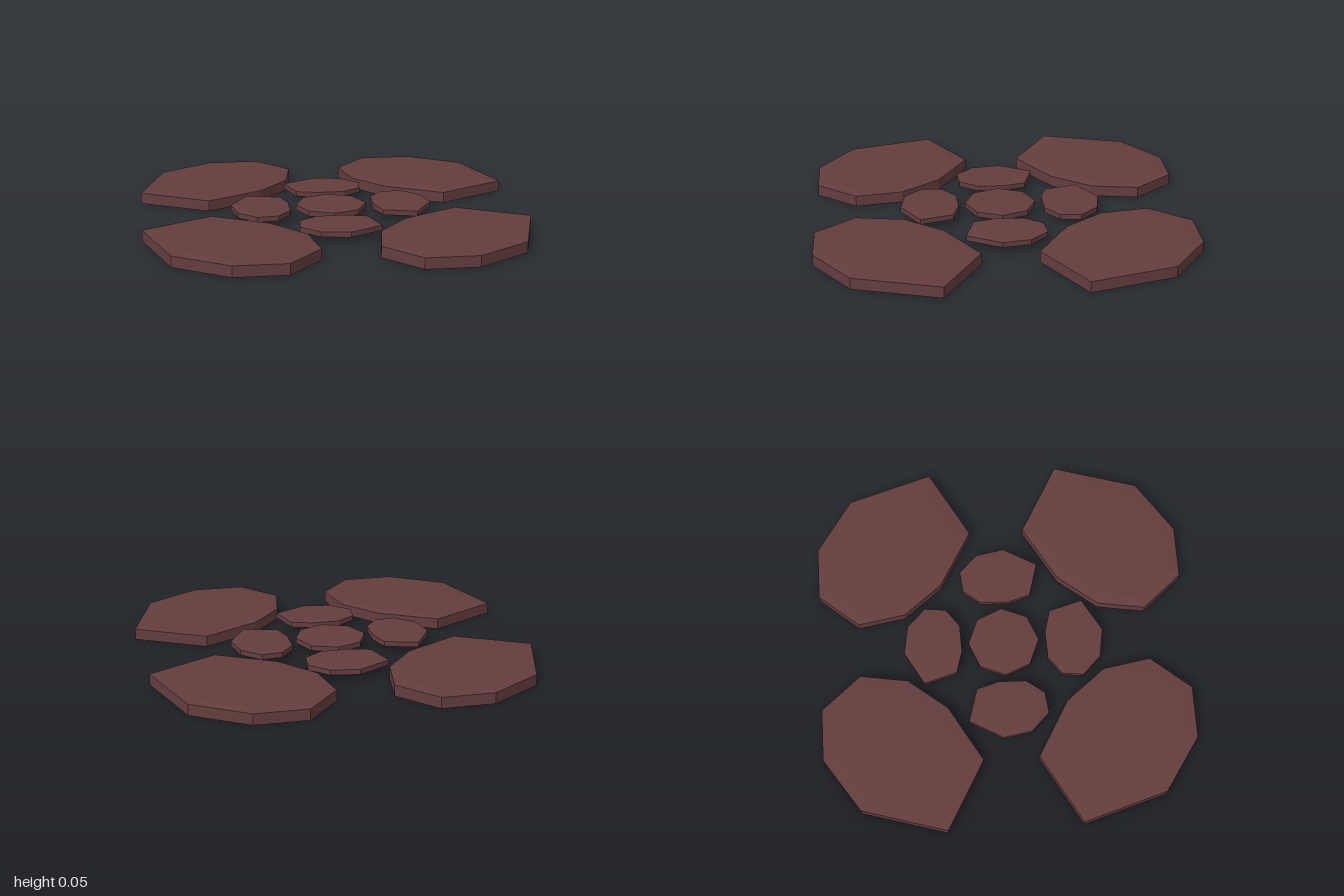
import * as THREE from 'three';

const TOP = 0.055; // all stones share one walking level

// Eight-sided outlines as [x, z]
const LARGE = [[-0.05, -1], [0.23, -0.945], [0.395, -0.78], [0.375, -0.55],
  [0.2, -0.425], [-0.02, -0.4], [-0.3, -0.475], [-0.395, -0.815]];
const SMALL = [[0.135, -0.385], [0.3, -0.34], [0.375, -0.235], [0.375, -0.12],
  [0.3, -0.06], [0.2, -0.075], [0.11, -0.16], [0.06, -0.25]];
const CENTRE = Array.from({ length: 8 }, (_, i) => {
  const a = i * Math.PI / 4;
  return [0.16 * Math.sin(a), -0.16 * Math.cos(a)];
});

// Stone slab: upright sides, then a shallow chamfer up to an inset flat top
function stoneGeometry(outline, height) {
  let area = 0;
  outline.forEach(([x, z], i) => {
    const [nx, nz] = outline[(i + 1) % outline.length];
    area += z * nx - x * nz;
  });
  const pts = area > 0 ? outline : [...outline].reverse();
  const n = pts.length;
  const cx = pts.reduce((s, p) => s + p[0], 0) / n;
  const cz = pts.reduce((s, p) => s + p[1], 0) / n;
  const rings = [[TOP - height, 1], [TOP - height * 0.1, 1], [TOP, 0.83]].map(([y, k]) =>
    pts.map(([x, z]) => [cx + (x - cx) * k, y, cz + (z - cz) * k]));

  const pos = [];
  const tri = (...corners) => corners.forEach(c => pos.push(...c));
  for (let i = 0; i < n; i++) {
    const j = (i + 1) % n;
    for (let r = 0; r < 2; r++) {
      const lo = rings[r], hi = rings[r + 1];
      tri(lo[i], lo[j], hi[j]);
      tri(lo[i], hi[j], hi[i]);
    }
    tri([cx, TOP, cz], rings[2][i], rings[2][j]);
    tri([cx, TOP - height, cz], rings[0][j], rings[0][i]);
  }
  const geo = new THREE.BufferGeometry();
  geo.setAttribute('position', new THREE.Float32BufferAttribute(pos, 3));
  geo.computeVertexNormals();
  return geo;
}

export function createModel() {
  const group = new THREE.Group();
  group.name = 'steppingStones';
  const material = new THREE.MeshStandardMaterial({ color: 0x643d3e, flatShading: true });

  const addStone = (name, outline, height) => {
    const mesh = new THREE.Mesh(stoneGeometry(outline, height), material);
    mesh.name = name;
    group.add(mesh);
  };

  // Four large outer stones: half turns and a diagonal mirror of one outline
  addStone('largeStoneBack', LARGE, TOP);
  addStone('largeStoneFront', LARGE.map(([x, z]) => [-x, -z]), TOP);
  addStone('largeStoneLeft', LARGE.map(([x, z]) => [-z, -x]), TOP);
  addStone('largeStoneRight', LARGE.map(([x, z]) => [z, x]), TOP);

  // Four thinner stones mirrored around the middle
  for (const sx of [1, -1]) {
    for (const sz of [1, -1]) {
      addStone(`smallStone${sz > 0 ? 'Back' : 'Front'}${sx > 0 ? 'Left' : 'Right'}`,
        SMALL.map(([x, z]) => [x * sx, z * sz]), 0.026);
    }
  }

  addStone('centreStone', CENTRE, 0.026);
  return group;
}
